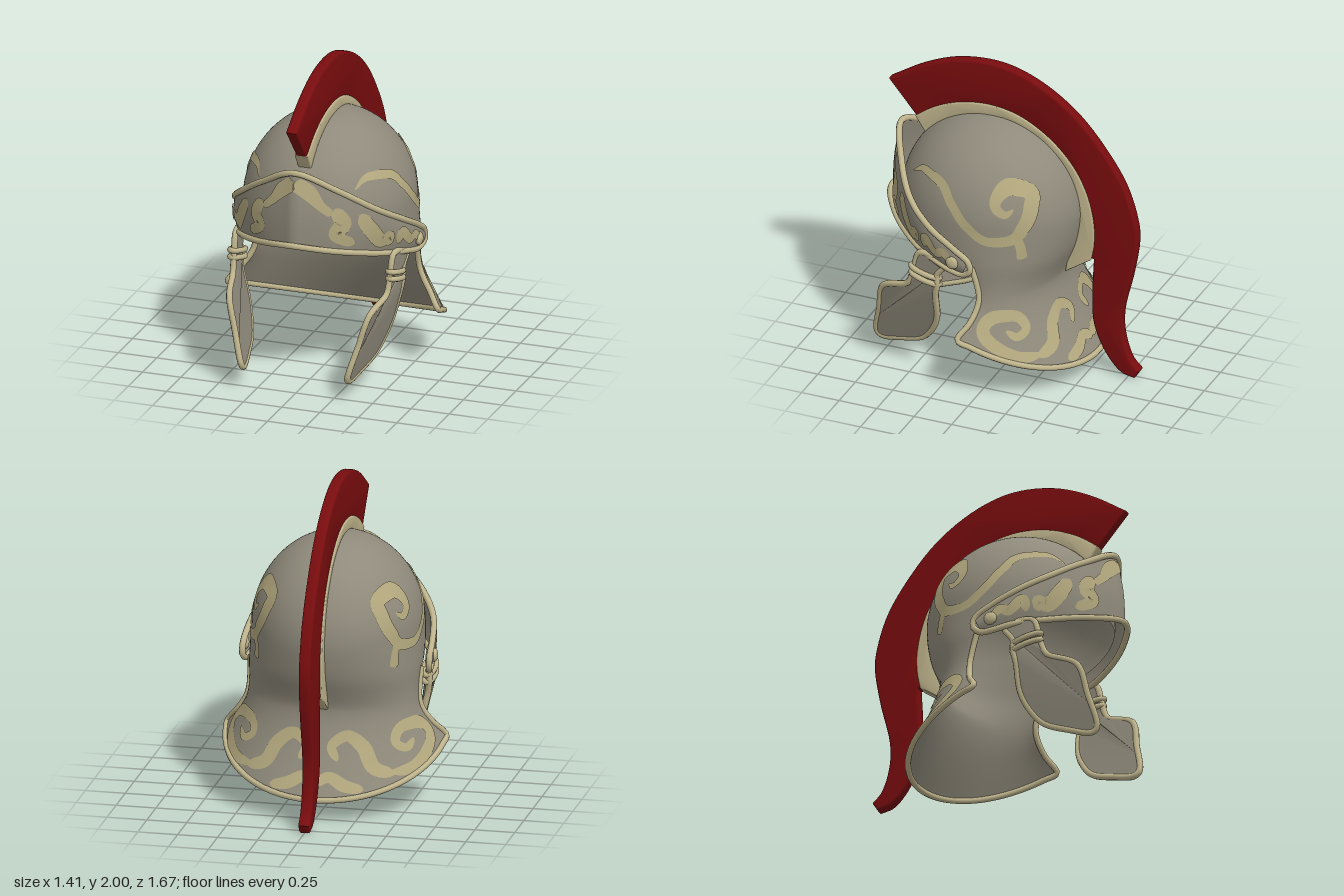
import * as THREE from 'three';
import { toCreasedNormals } from 'three/addons/utils/BufferGeometryUtils.js';

const mat = (name, color) => new THREE.MeshStandardMaterial({ name, color, side: THREE.DoubleSide });
const V3 = (p) => new THREE.Vector3(...p);
const curve = (pts, closed = false) => new THREE.CatmullRomCurve3(pts.map(V3), closed);

// Grid surface from fn(a, b); cells for which skip(a, b) is true stay open
function sheet(fn, [a0, a1, na], [b0, b1, nb], skip = () => false) {
  const pos = [], idx = [];
  const A = (i) => a0 + (a1 - a0) * i / na, B = (j) => b0 + (b1 - b0) * j / nb;
  for (let i = 0; i <= na; i++) for (let j = 0; j <= nb; j++) pos.push(...fn(A(i), B(j)).toArray());
  for (let i = 0; i < na; i++) for (let j = 0; j < nb; j++) {
    if (skip(A(i + 0.5), B(j + 0.5))) continue;
    const p = i * (nb + 1) + j, q = p + nb + 1;
    idx.push(p, p + 1, q, p + 1, q + 1, q);
  }
  const g = new THREE.BufferGeometry();
  g.setAttribute('position', new THREE.Float32BufferAttribute(pos, 3));
  g.setIndex(idx);
  g.computeVertexNormals();
  return g;
}

// Bowl cross-sections: side line, back line and front line, one point per row
const RIM = 19, EAR = 14;
const sidePts = [], backPts = [], frontPts = [];
for (let k = 0; k <= 12; k++) {
  const t = k / 12 * Math.PI / 2, y = 1.07 + 0.58 * Math.cos(t), s = Math.sin(t);
  sidePts.push([0.53 * s, y, 0.14]);
  backPts.push([0, y, 0.14 - 0.585 * s]);
  frontPts.push([0, y, 0.14 + 0.585 * s]);
}
sidePts.push([0.535, 0.95, 0.11], [0.535, 0.85, 0.07], [0.53, 0.75, 0.04], [0.535, 0.65, 0.02],
  [0.56, 0.58, 0.025], [0.615, 0.5, 0.05], [0.685, 0.41, 0.1]);
backPts.push([0, 0.95, -0.43], [0, 0.85, -0.405], [0, 0.74, -0.36], [0, 0.65, -0.335],
  [0, 0.5, -0.37], [0, 0.32, -0.45], [0, 0.14, -0.55]);
for (let k = 1; k <= 7; k++) frontPts.push([0, 1.07 - 0.02 * k, 0.725 - 0.002 * k]);
const [sideLine, backLine, frontLine] = [sidePts, backPts, frontPts].map((p) => curve(p));

// Bowl surface: row 0 is the apex, phi 0 the back, +-PI/2 the sides
function bowl(row, phi) {
  const t = Math.min(Math.max(row / RIM, 0), 1), c = Math.cos(phi);
  const F = sideLine.getPoint(t), E = (c >= 0 ? backLine : frontLine).getPoint(t), k = Math.abs(c);
  return new THREE.Vector3(F.x * Math.sin(phi), F.y + (E.y - F.y) * k, F.z + (E.z - F.z) * k);
}
// Row and phi of the bowl point seen at (z, y) from the side
function bowlAt(z, y) {
  let lo = 0.01, hi = RIM, phi = 0;
  for (let n = 0; n < 40; n++) {
    const row = (lo + hi) / 2, F = sideLine.getPoint(row / RIM);
    const E = (z < F.z ? backLine : frontLine).getPoint(row / RIM);
    const c = Math.min(1, (z - F.z) / (E.z - F.z || 1e-6));
    phi = Math.acos(z < F.z ? c : -c);
    if (bowl(row, phi).y > y) lo = row; else hi = row;
  }
  return [lo, phi];
}

// Brow band surface: v 0 top edge, 1 lower edge; u -1..1 across, 0 the middle
const browTop = [[0, 1.455, 0.765], [0.25, 1.33, 0.66], [0.44, 1.19, 0.52], [0.545, 1.08, 0.35],
  [0.58, 0.98, 0.17], [0.585, 0.91, 0.07]];
const browLow = [[0, 1, 0.825], [0.25, 0.95, 0.7], [0.46, 0.885, 0.47], [0.545, 0.85, 0.3],
  [0.57, 0.82, 0.18], [0.575, 0.815, 0.11]];
const browTopLine = curve(browTop), browLowLine = curve(browLow);
function brow(v, u) {
  const t = Math.min(1, Math.abs(u));
  const p = browTopLine.getPoint(t).lerp(browLowLine.getPoint(t), v);
  const out = new THREE.Vector3(p.x, 0, p.z - 0.1).normalize();
  p.addScaledVector(out, 0.018 * Math.sin(Math.PI * v));
  p.x *= u > 0 ? -1 : 1;
  return p;
}

// Painted scroll lying on a surface; path points are [a, b, width]
function scroll(surf, pts, sign) {
  const path = curve(pts.map(([a, b, w]) => [a, b * sign, w]));
  const at = (k) => { const q = path.getPoint(k); return surf(q.x, q.y); };
  return sheet((k, j) => {
    const q = path.getPoint(k), p = surf(q.x, q.y), e = 0.01;
    const da = surf(q.x + e, q.y).sub(surf(q.x - e, q.y)), db = surf(q.x, q.y + e).sub(surf(q.x, q.y - e));
    const n = db.cross(da).normalize();
    const t = at(Math.min(1, k + e)).sub(at(Math.max(0, k - e))).normalize();
    const w = q.z / 2 * Math.sqrt(Math.min(1, 0.05 + 14 * k * (1 - k)));
    return p.addScaledVector(n, 0.006).addScaledVector(t.cross(n), w * j);
  }, [0, 1, pts.length * 6], [-1, 1, 2]);
}

// Flat part drawn in the side plane as [z, y], given thickness across x
function slab(points, thick, bevel) {
  const shape = new THREE.Shape(points.map(([z, y]) => new THREE.Vector2(z, y)));
  const depth = thick - 2 * bevel;
  const g = new THREE.ExtrudeGeometry(shape, { depth, bevelEnabled: bevel > 0, bevelThickness: bevel,
    bevelSize: bevel, bevelOffset: -bevel, bevelSegments: 3 });
  return g.translate(0, 0, -depth / 2).rotateY(-Math.PI / 2);
}
const smooth = (pts, n, closed) => curve(pts.map(([z, y]) => [z, y, 0]), closed).getPoints(n).map((p) => [p.x, p.y]);
const tube = (pts, r, closed, n = 120) => new THREE.TubeGeometry(curve(pts, closed), n, r, 8, closed);

export function createModel() {
  const steel = mat('steel', 0x8f8a7b), trim = mat('brass trim', 0xbfb48c);
  const inlay = mat('brass inlay', 0xb3a87e), red = mat('red plume', 0x780c0e);
  const model = new THREE.Group();
  const add = (name, geo, m, parent = model) => {
    const mesh = new THREE.Mesh(geo, m);
    mesh.name = name;
    parent.add(mesh);
    return mesh;
  };

  // Bowl with neck guard, open at the face
  add('bowl', sheet(bowl, [0, RIM, 57], [-Math.PI, Math.PI, 80],
    (r, p) => r > EAR && Math.abs(p) > Math.PI / 2), steel);
  const edge = [];
  for (let r = 14; r < RIM; r++) edge.push(bowl(r, -Math.PI / 2).toArray());
  for (let k = 0; k <= 24; k++) edge.push(bowl(RIM, -Math.PI / 2 + Math.PI * k / 24).toArray());
  for (let r = RIM - 1; r >= 14; r--) edge.push(bowl(r, Math.PI / 2).toArray());
  add('neckGuardTrim', tube(edge, 0.019, false, 160), trim);

  // Brow band with its rim
  add('browBand', sheet(brow, [0, 1, 10], [-1, 1, 64]), steel);
  const flip = ([x, y, z]) => [-x, y, z];
  add('browTrim', tube([...browTop, [0.585, 0.85, 0.06], ...[...browLow].reverse(),
    ...browLow.slice(1).map(flip), [-0.585, 0.85, 0.06], ...browTop.slice(1).reverse().map(flip)], 0.02, true, 200), trim);

  // Scroll inlays
  const domeScrolls = [
    [[0.55, 1.31, 0.03], [0.45, 1.365, 0.05], [0.33, 1.35, 0.06], [0.22, 1.25, 0.06], [0.1, 1.12, 0.06],
      [-0.03, 1.04, 0.06], [-0.15, 1.05, 0.07], [-0.22, 1.13, 0.09], [-0.25, 1.25, 0.1], [-0.22, 1.35, 0.1],
      [-0.12, 1.38, 0.11], [-0.06, 1.32, 0.08], [-0.07, 1.25, 0.06], [-0.12, 1.22, 0.05], [-0.16, 1.25, 0.04]],
    [[-0.18, 1.08, 0.06], [-0.21, 1, 0.06], [-0.22, 0.92, 0.07]],
  ].map((s) => s.map(([z, y, w]) => [...bowlAt(z, y), w]));
  const neckScrolls = [
    [[18.5, 0.72, 0.06], [18.7, 1, 0.07], [18.4, 1.3, 0.08], [17.8, 1.4, 0.08], [17.1, 1.25, 0.08],
      [17, 1, 0.07], [17.5, 0.86, 0.06], [17.9, 1, 0.05], [17.7, 1.12, 0.04]],
    [[18.6, 0.78, 0.06], [18.2, 0.58, 0.09], [17.4, 0.47, 0.09], [17, 0.3, 0.07], [17.3, 0.14, 0.06], [17.8, 0.2, 0.05]],
    [[18.8, 0.45, 0.05], [18.6, 0.28, 0.08], [18.3, 0.12, 0.07], [18.5, 0, 0.06]],
  ];
  const browScrolls = [
    [[0.13, 0, 0.09], [0.18, 0.06, 0.1], [0.32, 0.12, 0.06], [0.4, 0.17, 0.05]],
    [[0.3, 0.18, 0.07], [0.5, 0.22, 0.11], [0.72, 0.19, 0.08], [0.82, 0.27, 0.06]],
    [[0.25, 0.3, 0.08], [0.5, 0.35, 0.1], [0.7, 0.4, 0.09], [0.55, 0.46, 0.07], [0.8, 0.44, 0.06]],
    [[0.75, 0.52, 0.05], [0.4, 0.57, 0.07], [0.6, 0.65, 0.06], [0.4, 0.72, 0.06], [0.6, 0.8, 0.04]],
  ];
  for (const s of [1, -1]) {
    for (const p of domeScrolls) add('domeScroll', scroll(bowl, p, s), inlay);
    for (const p of neckScrolls) add('neckGuardScroll', scroll(bowl, p, s), inlay);
    for (const p of browScrolls) add('browScroll', scroll(brow, p, s), inlay);
  }

  // Crest holder hugging the bowl
  const holderOuter = smooth([[0.66, 1.53], [0.53, 1.62], [0.36, 1.69], [0.165, 1.715], [-0.02, 1.685],
    [-0.18, 1.605], [-0.31, 1.5], [-0.415, 1.37], [-0.49, 1.21], [-0.53, 1.025], [-0.53, 0.88], [-0.51, 0.775]], 50);
  const holderInner = smooth(backPts.slice(1, 16).map(([, y, z]) => [z + 0.008, y - 0.004]).reverse(), 36);
  const holderFront = smooth(frontPts.slice(0, 8).map(([, y, z]) => [z, y - 0.008]), 20).filter(([z]) => z < 0.59);
  add('crestHolder', toCreasedNormals(slab([...holderOuter, [-0.34, 0.66], ...holderInner, ...holderFront,
    [0.595, 1.43]], 0.09, 0.01), 0.6), trim);

  // Plume
  const plumeOuter = smooth([[0.84, 1.745], [0.615, 1.885], [0.405, 1.97], [0.19, 2], [0.01, 1.98], [-0.2, 1.895],
    [-0.415, 1.74], [-0.6, 1.525], [-0.73, 1.315], [-0.8, 1.1], [-0.815, 0.97], [-0.78, 0.73], [-0.715, 0.44],
    [-0.72, 0.28], [-0.77, 0.125], [-0.83, 0.06]], 70);
  const plumeTail = smooth([[-0.795, 0.005], [-0.705, 0.03], [-0.6, 0.15], [-0.525, 0.335], [-0.515, 0.545], [-0.525, 0.78]], 24);
  const plumeInner = holderOuter.slice(0, -1).reverse().map(([z, y]) => [z + (0.1 - z) * 0.02, y - 0.012]);
  add('plume', toCreasedNormals(slab([...plumeOuter, ...plumeTail, ...plumeInner], 0.072, 0.015), 0.6), red);

  // Cheek guard: hinged strap and leaf-shaped plate, leaning inward
  const cheekX = (z, y) => 0.52 - 0.25 * (0.6 - Math.min(y, 0.64)) - 0.135 * (z - 0.31);
  const outline = [[0.42, 0.87], [0.465, 0.75], [0.48, 0.69], [0.51, 0.63], [0.69, 0.55], [0.74, 0.36], [0.78, 0.16],
    [0.75, 0.13], [0.6, 0.16], [0.45, 0.215], [0.37, 0.31], [0.325, 0.42], [0.315, 0.6], [0.3, 0.68], [0.3, 0.75], [0.25, 0.83]];
  const cheek = new THREE.Group();
  cheek.name = 'leftCheekGuard';
  const plate = slab(smooth(outline, 90, true), 0.028, 0);
  const pos = plate.attributes.position;
  for (let i = 0; i < pos.count; i++) pos.setX(i, pos.getX(i) + cheekX(pos.getZ(i), pos.getY(i)));
  add('cheekPlate', toCreasedNormals(plate, 0.6), steel, cheek);
  add('cheekTrim', tube(outline.map(([z, y]) => [cheekX(z, y), y, z]), 0.02, true), trim, cheek);
  for (const y of [0.745, 0.7]) {
    const ring = [];
    for (let k = 0; k < 12; k++) {
      const a = k / 6 * Math.PI;
      ring.push([0.515 + 0.035 * Math.cos(a), y + 0.025 * Math.sin(a), 0.385 + 0.095 * Math.sin(a)]);
    }
    add('cheekCollar', tube(ring, 0.018, true, 40), trim, cheek);
  }
  // Hinge rivet
  add('rivet', new THREE.SphereGeometry(1, 20, 12).scale(0.022, 0.042, 0.042).translate(0.592, 0.89, 0.175), trim, cheek);
  model.add(cheek);
  const mirrored = cheek.clone();
  mirrored.name = 'rightCheekGuard';
  mirrored.scale.x = -1;
  model.add(mirrored);
  return model;
}
